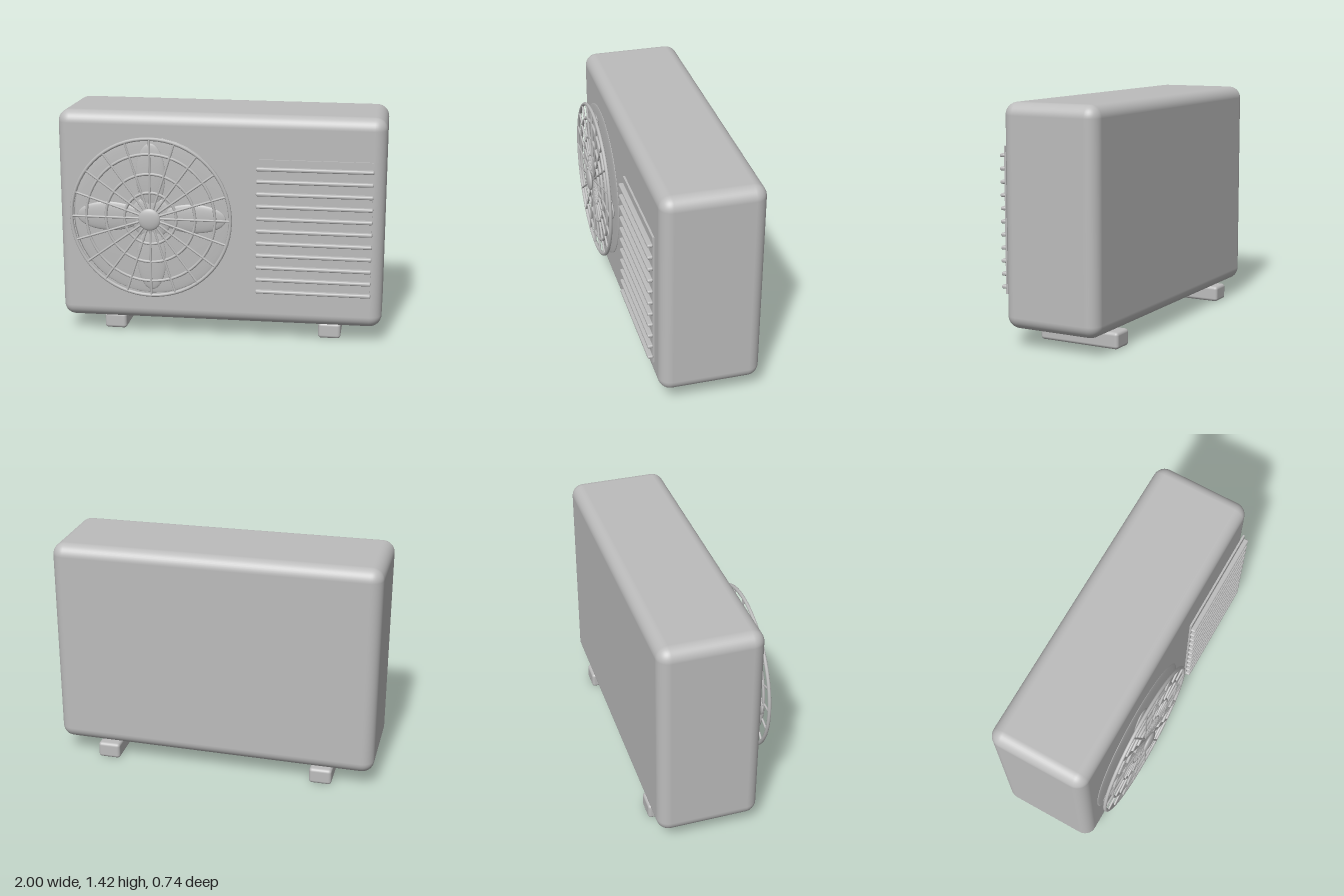
import * as THREE from 'three';
import { RoundedBoxGeometry } from 'three/addons/geometries/RoundedBoxGeometry.js';

export function createModel() {
  const model = new THREE.Group();
  model.name = 'outdoorAirUnit';
  const grey = new THREE.MeshStandardMaterial({ color: 0xbcbcbc });
  grey.name = 'light grey';

  const add = (parent, name, geometry, x, y, z) => {
    const mesh = new THREE.Mesh(geometry, grey);
    mesh.name = name;
    mesh.position.set(x, y, z);
    parent.add(mesh);
    return mesh;
  };
  const ellipsoid = (a, b, c) => new THREE.SphereGeometry(1, 32, 20).scale(a, b, c);

  // Casing, tapering very slightly towards its left end
  const casing = new RoundedBoxGeometry(2, 1.31, 0.615, 5, 0.075);
  const p = casing.attributes.position;
  for (let i = 0; i < p.count; i++) {
    const s = 1 - 0.006 * p.getX(i);
    p.setY(i, p.getY(i) * s);
    p.setZ(i, p.getZ(i) * s);
  }
  add(model, 'casing', casing, 0, 0.758, -0.06);

  // Two feet running front to back
  for (const side of [-1, 1]) {
    add(model, 'foot', new RoundedBoxGeometry(0.14, 0.1, 0.52, 3, 0.02), side * 0.68, 0.05, -0.103);
  }

  // Fan behind a round wire guard
  const fan = new THREE.Group();
  fan.name = 'fan';
  fan.position.set(-0.41, 0.78, 0);
  model.add(fan);
  add(fan, 'backDisc', ellipsoid(0.49, 0.49, 0.014), 0, 0, 0.269);
  add(fan, 'fanHub', ellipsoid(0.13, 0.13, 0.016), 0, 0, 0.292);
  for (let i = 0; i < 4; i++) {
    const a = i * Math.PI / 2;
    const blade = add(fan, 'fanBlade', ellipsoid(0.2, 0.09, 0.016),
      Math.cos(a) * 0.26, Math.sin(a) * 0.26, 0.295);
    blade.rotation.z = a;
  }

  // Guard rings, spokes and centre cap
  for (const r of [0.16, 0.275, 0.397, 0.49]) {
    add(fan, 'guardRing', new THREE.TorusGeometry(r, r > 0.45 ? 0.011 : 0.009, 8, 64), 0, 0, 0.322);
  }
  for (let i = 0; i < 20; i++) {
    const a = i * Math.PI / 10;
    const spoke = add(fan, 'guardSpoke', new THREE.CylinderGeometry(0.007, 0.007, 0.49, 8),
      Math.cos(a) * 0.245, Math.sin(a) * 0.245, 0.325);
    spoke.rotation.z = a - Math.PI / 2;
  }
  add(fan, 'guardCap', ellipsoid(0.068, 0.068, 0.018), 0, 0, 0.352);

  // Louvre panel with horizontal slats
  add(model, 'louvrePanel', new THREE.BoxGeometry(0.69, 0.86, 0.012), 0.58, 0.725, 0.27);
  for (let i = 0; i < 11; i++) {
    add(model, 'louvreSlat', new RoundedBoxGeometry(0.7, 0.022, 0.034, 3, 0.009),
      0.58, 0.335 + i * 0.0765, 0.288);
  }
  return model;
}
